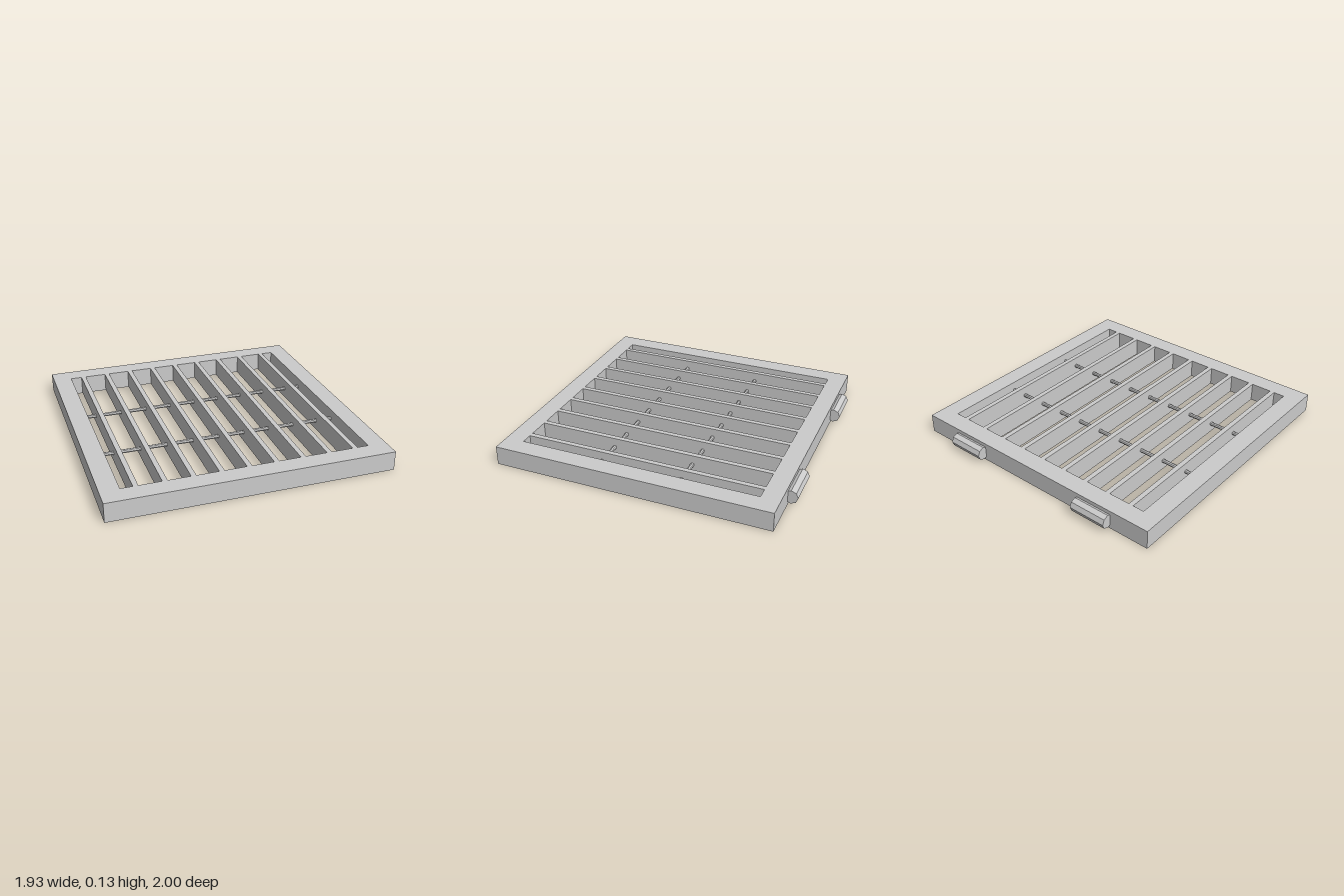
import * as THREE from 'three';

const HEIGHT = 0.134;
const MID = HEIGHT / 2;

function rectangle(PathType, x0, x1, z0, z1) {
  // shape y runs along -z, so the extrusion rises along +y once laid flat
  return new PathType([
    new THREE.Vector2(x0, -z1), new THREE.Vector2(x1, -z1),
    new THREE.Vector2(x1, -z0), new THREE.Vector2(x0, -z0),
  ]);
}

export function createModel() {
  const model = new THREE.Group();
  model.name = 'hingedGrate';
  const material = new THREE.MeshStandardMaterial({ color: 0xcccccc, flatShading: true });

  const add = (name, geometry, x = 0, y = 0, z = 0) => {
    const mesh = new THREE.Mesh(geometry, material);
    mesh.name = name;
    mesh.position.set(x, y, z);
    model.add(mesh);
  };

  // Rectangular border with a single opening
  const border = rectangle(THREE.Shape, -0.966, 0.966, -0.932, 1);
  border.holes.push(rectangle(THREE.Path, -0.836, 0.836, -0.803, 0.868));
  const frame = new THREE.ExtrudeGeometry(border, { depth: HEIGHT, bevelEnabled: false });
  frame.rotateX(-Math.PI / 2);
  add('frame', frame);

  // Nine upright slats running front to back
  const slat = new THREE.BoxGeometry(0.034, HEIGHT, 1.671);
  for (let i = -4; i <= 4; i++) add('slat', slat, i * 0.1848, MID, 0.0325);

  // Two thin cross rods through the slats
  const rod = new THREE.CylinderGeometry(0.0134, 0.0134, 1.672, 8);
  rod.rotateZ(Math.PI / 2);
  for (const z of [-0.251, 0.318]) add('crossRod', rod, 0, MID, z);

  // Two octagonal hinge barrels half sunk into the back edge
  const barrel = new THREE.CylinderGeometry(0.048, 0.048, 0.266, 8);
  barrel.rotateZ(Math.PI / 2);
  for (const side of [-1, 1]) add('hingeBarrel', barrel, side * 0.547, MID, -0.952);

  return model;
}
